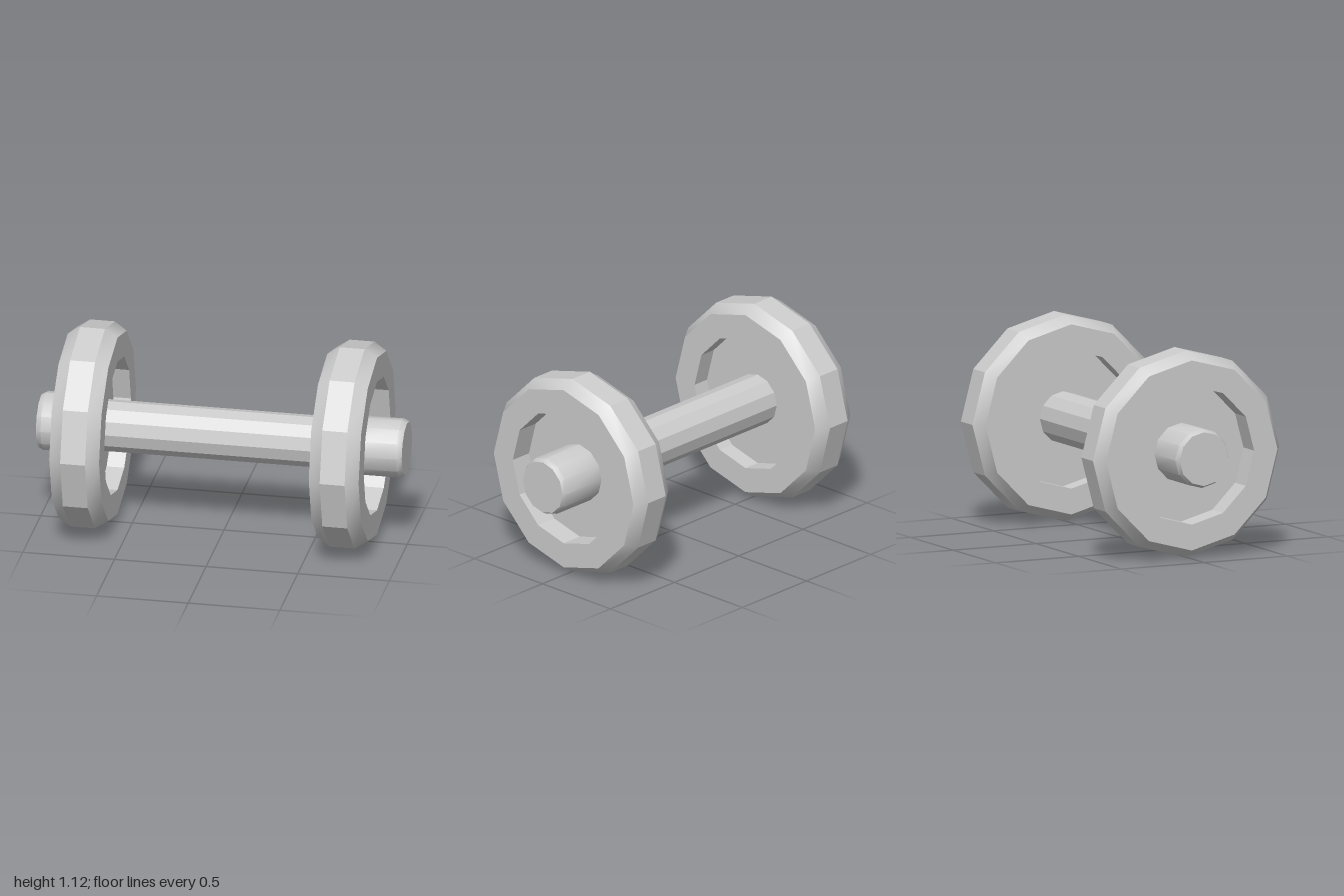
import * as THREE from 'three';
import { toCreasedNormals } from 'three/addons/utils/BufferGeometryUtils.js';

const SIDES = 12;
const AXIS_Y = 0.562;

// Revolves a [radius, x] profile around the bar axis.
function turned(name, profile, material, creaseDegrees) {
  const points = profile.map(([r, x]) => new THREE.Vector2(r, x));
  const lathe = new THREE.LatheGeometry(points, SIDES);
  lathe.rotateZ(-Math.PI / 2);
  const geometry = toCreasedNormals(lathe, THREE.MathUtils.degToRad(creaseDegrees));
  const mesh = new THREE.Mesh(geometry, material);
  mesh.name = name;
  return mesh;
}

export function createModel() {
  const model = new THREE.Group();
  model.name = 'dumbbell';
  const material = new THREE.MeshStandardMaterial({ color: 0xcccccc });

  // Faceted handle between the plates
  const handle = turned('handle', [[0, -0.71], [0.14, -0.71], [0.14, 0.7], [0, 0.7]], material, 29);
  handle.position.y = AXIS_Y;
  model.add(handle);

  // Weight plate: chamfered rim, recessed on both faces, deeper on the outside
  const half = 0.136, innerFloor = -0.04, outerFloor = 0.01;
  const plateProfile = [
    [0, innerFloor], [0.375, innerFloor], [0.375, -half], [0.515, -half], [0.56, -0.068],
    [0.56, 0.068], [0.515, half], [0.375, half], [0.375, outerFloor], [0, outerFloor],
  ];

  // End cap with a rounded bevel, running from the plate web to the tip
  const capProfile = [[0, 0.69], [0.16, 0.69], [0.16, 0.97], [0.15, 0.99], [0.146, 0.998], [0, 0.998]];

  for (const [side, plateX, turn] of [['left', 0.699, 0], ['right', -0.717, Math.PI]]) {
    const plate = turned(side + 'Plate', plateProfile, material, 29);
    plate.position.set(plateX, AXIS_Y, 0);
    plate.rotation.y = turn;

    const cap = turned(side + 'EndCap', capProfile, material, 31);
    cap.position.y = AXIS_Y;
    cap.rotation.y = turn;
    model.add(plate, cap);
  }
  return model;
}
